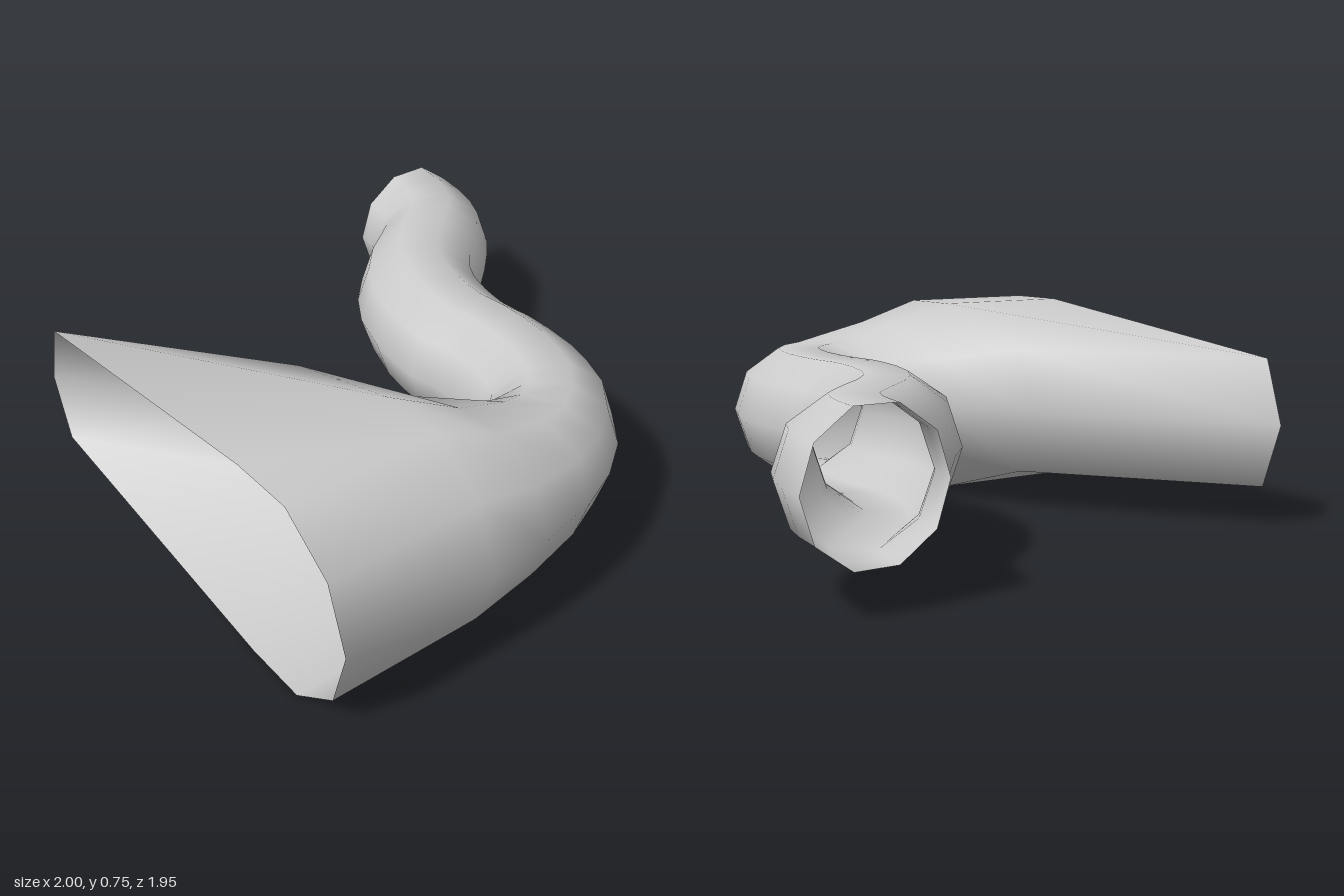
import * as THREE from 'three';

const SIDES = 10;
const MID_Y = 0.375;

// Sections along the bend: outer edge x, z, inner edge x, z, radius
const SECTIONS = [
  [-1, 0.97, -1, -0.83, 0.394],
  [-0.45, 0.97, -0.45, -0.12, 0.394],
  [-0.21, 0.95, -0.26, 0.18, 0.307],
  [0.02, 0.9, -0.12, 0.34, 0.263],
  [0.18, 0.83, -0.06, 0.385, 0.243],
  [0.32, 0.73, -0.03, 0.39, 0.243],
  [0.43, 0.59, 0, 0.37, 0.243],
  [0.48, 0.46, 0.02, 0.33, 0.243],
  [0.51, 0.34, 0.04, 0.25, 0.243],
  [0.523, 0.2, 0.045, 0.15, 0.243],
  [0.523, 0.09, 0.04, 0.06, 0.243],
  [0.51, -0.03, 0.02, -0.03, 0.243],
  [0.515, -0.08, 0.03, -0.15, 0.243],
  [0.525, -0.14, 0.05, -0.27, 0.243],
  [0.545, -0.22, 0.11, -0.45, 0.243],
  [0.58, -0.29, 0.19, -0.58, 0.243],
  [0.64, -0.36, 0.3, -0.7, 0.243],
  [0.74, -0.45, 0.4, -0.775, 0.243],
  [0.83, -0.54, 0.46, -0.82, 0.243],
  [0.9, -0.62, 0.485, -0.86, 0.243],
  [0.95, -0.73, 0.5, -0.9, 0.243],
  [0.98, -0.84, 0.51, -0.94, 0.243],
  [1, -0.98, 0.51, -0.98, 0.243],
];

// Ten-sided ring; its inner corners are pulled out to the inner edge
function ringPoints([ox, oz, ix, iz, r]) {
  const outer = new THREE.Vector3(ox, MID_Y, oz);
  const inner = new THREE.Vector3(ix, MID_Y, iz);
  const n = outer.clone().sub(inner).normalize();
  const points = [];
  for (let k = 0; k < SIDES; k++) {
    const a = (k / SIDES) * Math.PI * 2;
    const c = Math.cos(a);
    const pulled = c < -0.5;
    const p = (pulled ? inner : outer).clone();
    p.addScaledVector(n, pulled ? r * (c + 1) : r * (c - 1));
    p.y += r * Math.sin(a);
    points.push(p);
  }
  return points;
}

function loft(rings) {
  const index = [];
  for (let i = 0; i < rings.length - 1; i++) {
    for (let k = 0; k < SIDES; k++) {
      const next = (k + 1) % SIDES;
      const a = i * SIDES + k, b = a + SIDES;
      const c = i * SIDES + next, d = c + SIDES;
      index.push(a, b, c, b, d, c);
    }
  }
  const geometry = new THREE.BufferGeometry().setFromPoints(rings.flat());
  geometry.setIndex(index);
  geometry.computeVertexNormals();
  return geometry;
}

export function createModel() {
  const group = new THREE.Group();
  group.name = 'bentPipe';
  const material = new THREE.MeshStandardMaterial({ color: 0xcccccc, side: THREE.DoubleSide });

  // Open tube with a flared mouth
  const tube = new THREE.Mesh(loft(SECTIONS.map(ringPoints)), material);
  tube.name = 'flaredTube';
  group.add(tube);
  return group;
}
